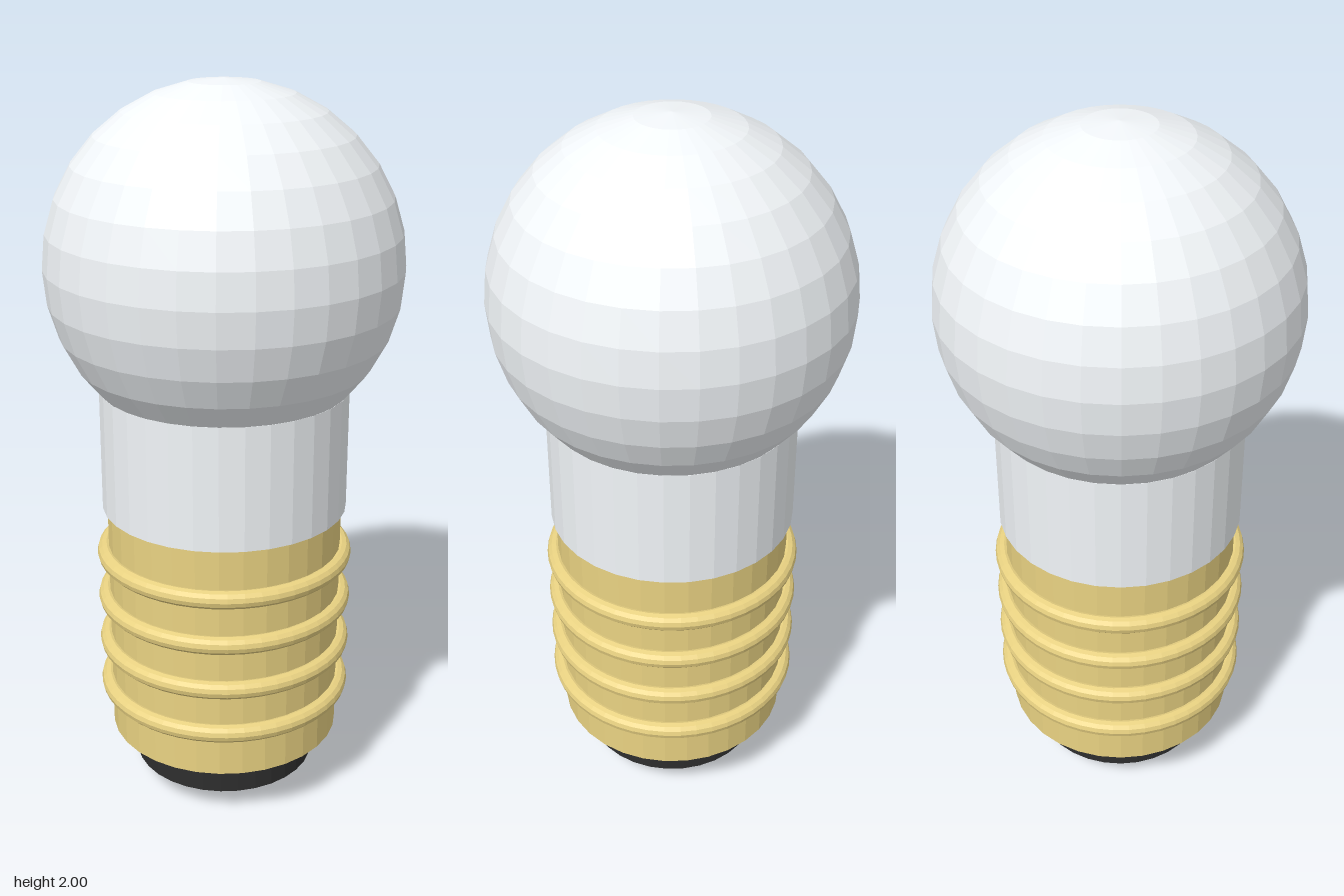
import * as THREE from 'three';

const SIDES = 32;

function flat(color) {
  return new THREE.MeshStandardMaterial({ color, flatShading: true });
}

export function createModel() {
  const model = new THREE.Group();
  model.name = 'lightBulb';

  const glass = flat(0xf2f6f9);
  const brass = flat(0xe9d282);
  const black = flat(0x2e2e2e);
  const metal = flat(0xcccccc);

  function add(name, geometry, material, y) {
    const mesh = new THREE.Mesh(geometry, material);
    mesh.name = name;
    mesh.position.y = y;
    model.add(mesh);
    return mesh;
  }

  // Upright cylinder between two heights
  function addCylinder(name, radius, bottom, top, material) {
    const geometry = new THREE.CylinderGeometry(radius, radius, top - bottom, SIDES);
    return add(name, geometry, material, (bottom + top) / 2);
  }

  // Glass globe and neck
  add('globe', new THREE.SphereGeometry(0.473, SIDES, 16), glass, 1.527);
  addCylinder('neck', 0.338, 0.855, 1.196, glass);

  // Brass screw base with four thread rings
  addCylinder('screwBase', 0.325, 0.176, 0.855, brass);
  for (let i = 0; i < 4; i++) {
    const ring = new THREE.TorusGeometry(0.331, 0.025, 12, 48).rotateX(Math.PI / 2);
    add(`threadRing${i + 1}`, ring, brass, 0.311 + i * 0.135);
  }

  // Insulator disc and domed contact underneath
  addCylinder('insulator', 0.257, 0.071, 0.176, black);
  const contact = add('contact', new THREE.SphereGeometry(0.147, SIDES, 16), metal, 0.0735);
  contact.scale.y = 0.5;

  return model;
}
